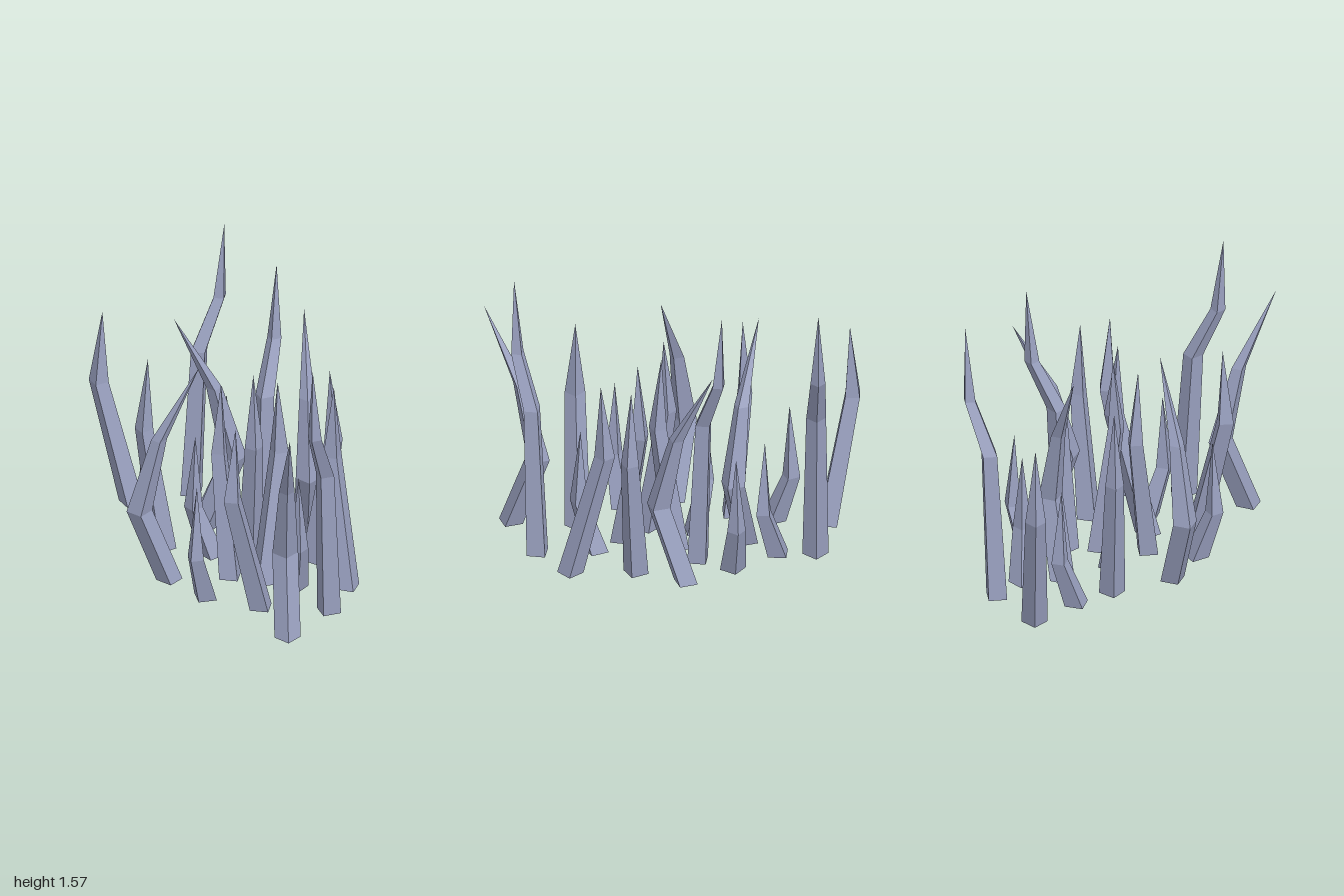
import * as THREE from 'three';

const bladeMat = new THREE.MeshStandardMaterial({ color: 0x9aa1c0, side: THREE.DoubleSide });
bladeMat.name = 'slate blue';
bladeMat.flatShading = true;

// Blade profiles: [height, lean along the blade's own axis, half diagonal]
const PROFILES = {
  tallBlade: [[0, 0, 0.07], [0.855, 0.05, 0.053], [1.14, 0.182, 0.04], [1.565, 0.212, 0]],
  bentBlade: [[0, 0, 0.07], [0.427, -0.16, 0.069], [0.855, -0.055, 0.042], [1.28, 0.16, 0]],
  curvedBlade: [[0, 0, 0.07], [0.712, 0.182, 0.055], [1.135, 0.162, 0]],
  straightBlade: [[0, 0, 0.07], [0.712, 0.105, 0.05], [1.135, 0.085, 0]],
  shortBlade: [[0, 0, 0.07], [0.285, 0.1, 0.05], [0.71, 0.09, 0]],
};

// Placement: base x, base z, lean direction x, lean direction z
const PLACES = {
  tallBlade: [
    [0.125, 0.745, -0.18, 0.11],
    [0.265, -0.1, 0.175, -0.115],
    [0.243, -0.73, 1, 0],
  ],
  bentBlade: [
    [-0.385, -0.015, 0.87, 0.46],
    [-0.22, 0.86, -0.5, 0.87],
    [0.5, -0.02, 0.5, -0.87],
    [0.08, -0.372, -0.87, -0.49],
  ],
  curvedBlade: [
    [-0.08, -0.82, -0.115, -0.14],
    [0.015, 0.29, 0.155, -0.085],
    [-0.155, 0.51, -1, 0],
    [0.352, 0.585, 0.025, -0.18],
  ],
  straightBlade: [
    [-0.215, -0.32, -0.075, -0.075],
    [-0.1, 0.14, 0, -1],
    [0.123, 0.002, -0.04, 0.095],
    [0.375, 0.237, 0.1, 0.04],
  ],
  shortBlade: [
    [-0.14, -0.535, 0.035, -0.08],
    [0.23, -0.53, 0.055, 0.075],
    [0.375, -0.28, 0.1, -0.012],
    [-0.045, -0.11, -0.07, -0.06],
    [-0.335, 0.255, -0.1, 0.045],
    [0.125, 0.43, -0.04, 0.09],
  ],
};

// Open-bottomed diamond tube lofted through the profile up to a point
function bladeGeometry(profile) {
  const pos = [];
  const corner = ([y, lean, r], k) => {
    const a = (k * Math.PI) / 2;
    return [lean + r * Math.cos(a), y, r * Math.sin(a)];
  };
  for (let i = 0; i < profile.length - 1; i++) {
    const low = profile[i], high = profile[i + 1];
    for (let k = 0; k < 4; k++) {
      const a = corner(low, k), b = corner(low, k + 1);
      const c = corner(high, k), d = corner(high, k + 1);
      pos.push(...a, ...c, ...b);
      if (high[2] > 0) pos.push(...b, ...c, ...d);
    }
  }
  const geo = new THREE.BufferGeometry();
  geo.setAttribute('position', new THREE.Float32BufferAttribute(pos, 3));
  geo.computeVertexNormals();
  return geo;
}

export function createModel() {
  const group = new THREE.Group();
  group.name = 'grassClump';
  for (const [name, places] of Object.entries(PLACES)) {
    const geo = bladeGeometry(PROFILES[name]);
    places.forEach(([x, z, dx, dz], i) => {
      const blade = new THREE.Mesh(geo, bladeMat);
      blade.name = `${name}${i + 1}`;
      blade.position.set(x, 0, z);
      blade.rotation.y = Math.atan2(-dz, dx);
      group.add(blade);
    });
  }
  return group;
}
